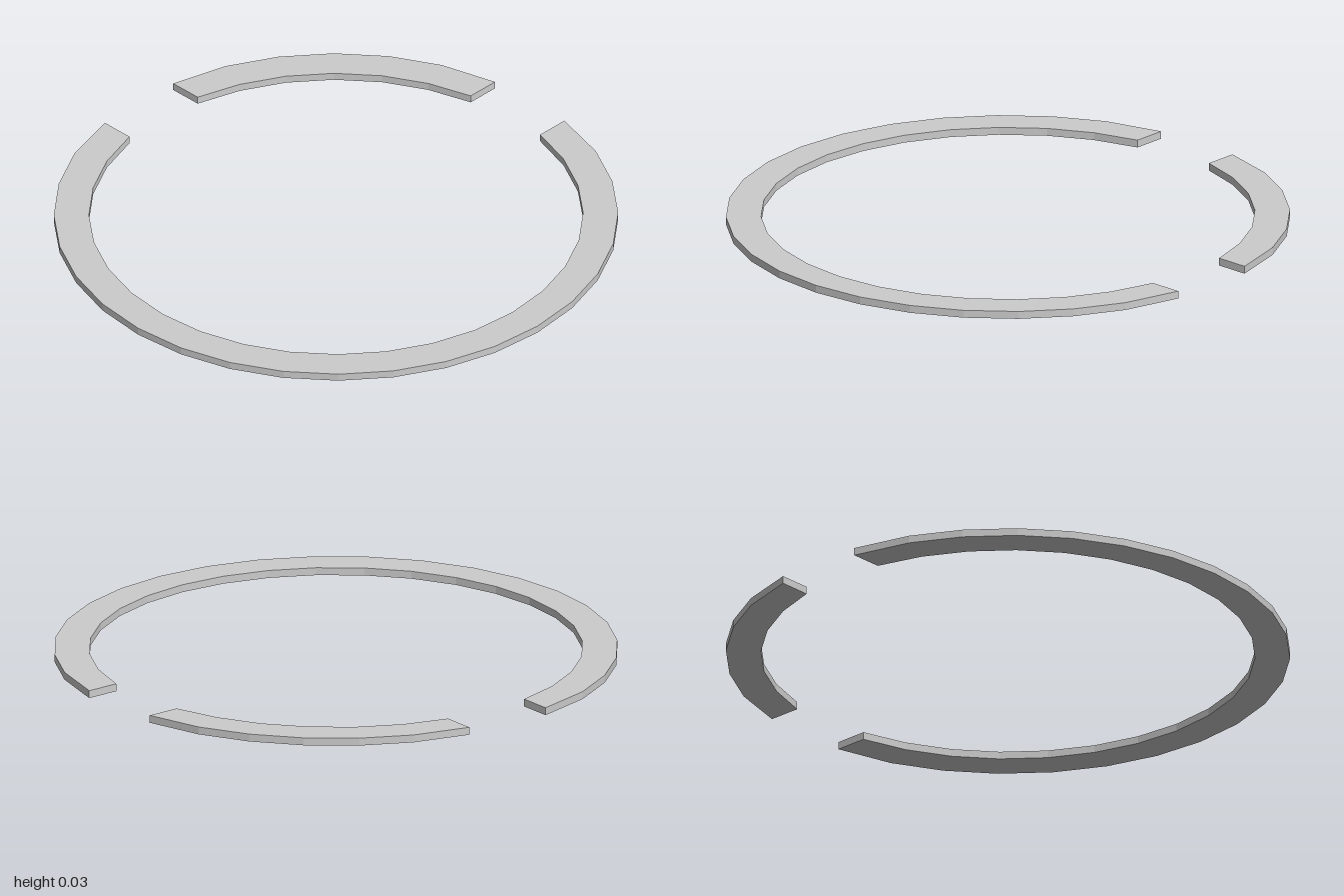
import * as THREE from 'three';

const SEGMENTS = 32;
const CENTRE = -0.0097; // ring centre, offset equally in x and z
const OUTER = 1.0097;
const INNER = 0.884;
const HEIGHT = 0.028;

// Corner k of the ring in plan (x right, y towards the back).
// The corners beside each gap slide onto the straight cut lines.
function corner(k, radius) {
  const a = (k / SEGMENTS) * Math.PI * 2;
  const p = new THREE.Vector2(CENTRE + radius * Math.cos(a), -CENTRE + radius * Math.sin(a));
  switch (k % SEGMENTS) {
    case 7: p.x = 0.162; break;
    case 9: p.x = -0.186; break;
    case 15: p.y = 0.186; break;
    case 17: p.y = -0.162; break;
  }
  return p;
}

// Flat curved bar running from corner k0 to corner k1
function ringSegment(name, k0, k1, material) {
  const outer = [], inner = [];
  for (let k = k0; k <= k1; k++) {
    outer.push(corner(k, OUTER));
    inner.unshift(corner(k, INNER));
  }
  const shape = new THREE.Shape([...outer, ...inner]);
  const geometry = new THREE.ExtrudeGeometry(shape, { depth: HEIGHT, bevelEnabled: false });
  geometry.rotateX(-Math.PI / 2);
  const mesh = new THREE.Mesh(geometry, material);
  mesh.name = name;
  return mesh;
}

export function createModel() {
  const group = new THREE.Group();
  group.name = 'splitRing';
  const material = new THREE.MeshStandardMaterial({ color: 0xcccccc, flatShading: true });
  group.add(ringSegment('longArc', 17, 39, material)); // front and left
  group.add(ringSegment('shortArc', 9, 15, material)); // back right quarter
  return group;
}
